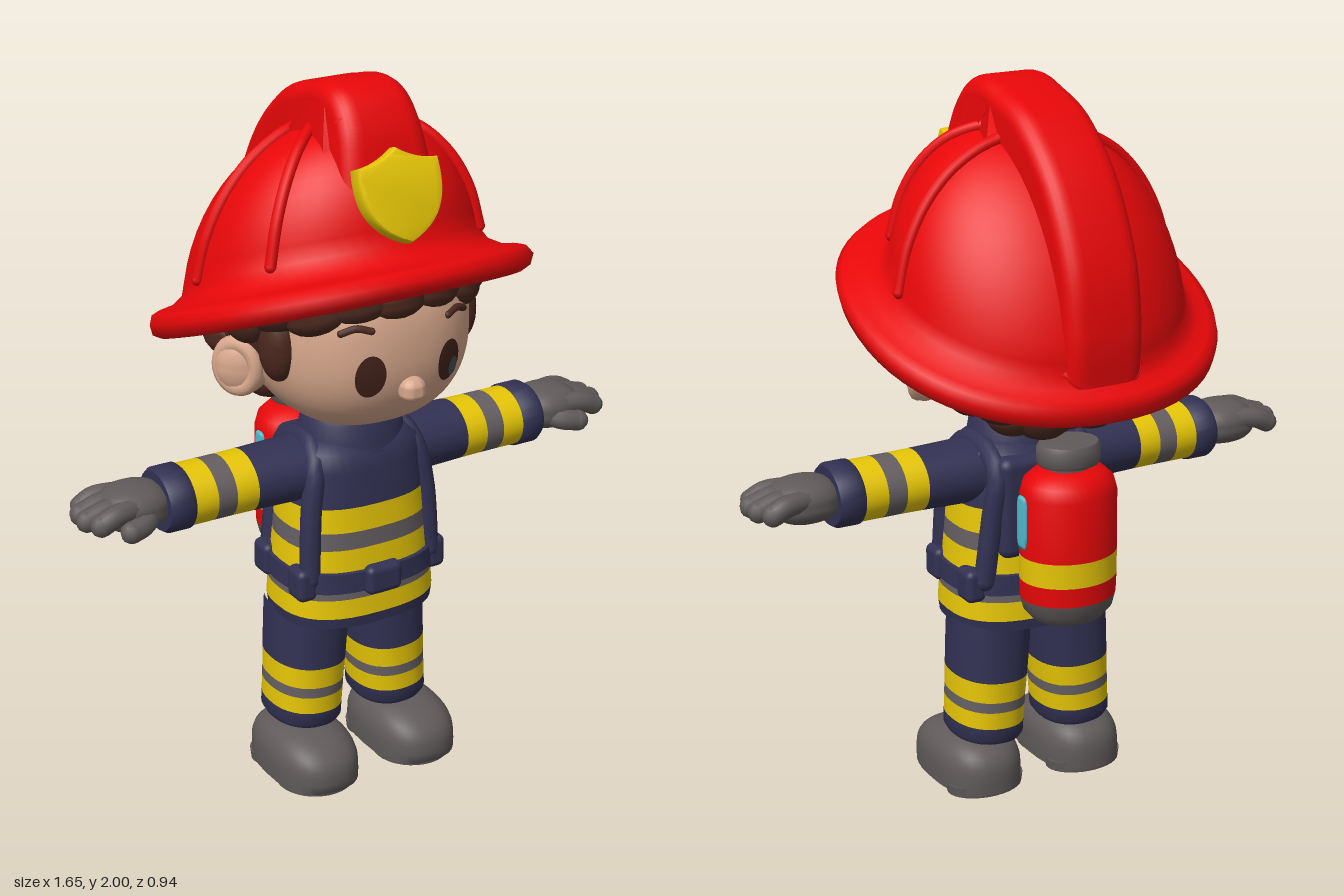
import * as THREE from 'three';
import { toCreasedNormals } from 'three/addons/utils/BufferGeometryUtils.js';
import { RoundedBoxGeometry } from 'three/addons/geometries/RoundedBoxGeometry.js';

const mat = (name, color, side = THREE.FrontSide) => {
  const m = new THREE.MeshStandardMaterial({ color, side });
  m.name = name;
  return m;
};
const V = (x, y, z) => new THREE.Vector3(x, y, z);

export function createModel() {
  const red = mat('red', 0xec0709, THREE.DoubleSide), yellow = mat('yellow', 0xe6c506);
  const navy = mat('navy', 0x323153), grey = mat('grey', 0x605a5a), band = mat('bandGrey', 0x645e61);
  const skin = mat('skin', 0xd8a88c), brown = mat('hairBrown', 0x4a281e);
  const dark = mat('eyeBrown', 0x42221a), glint = mat('eyeGlint', 0x4a5058), cyan = mat('gaugeBlue', 0x50bccc);

  const root = new THREE.Group();
  const group = (name) => {
    const g = new THREE.Group();
    g.name = name;
    root.add(g);
    return g;
  };
  const add = (parent, name, geo, material, x = 0, y = 0, z = 0) => {
    const m = new THREE.Mesh(geo, material);
    m.name = name;
    m.position.set(x, y, z);
    parent.add(m);
    return m;
  };
  // Move every vertex by a rule, then rebuild normals
  const warp = (geo, rule, crease = 0.9) => {
    const p = geo.attributes.position, v = V(0, 0, 0);
    for (let i = 0; i < p.count; i++) {
      rule(v.fromBufferAttribute(p, i));
      p.setXYZ(i, v.x, v.y, v.z);
    }
    return toCreasedNormals(geo, crease);
  };
  const box = (a, e) => Math.sign(a) * Math.abs(a) ** e;
  // Square off a round horizontal section
  const squarish = (v, e) => {
    const r = Math.hypot(v.x, v.z) || 1;
    v.x = r * box(v.x / r, e);
    v.z = r * box(v.z / r, e);
  };
  const blob = (parent, name, m, [x, y, z], [a, b, c], e = 1, seg = 24) =>
    add(parent, name, warp(new THREE.SphereGeometry(1, seg, Math.round(seg * 0.7)), (v) =>
      v.set(box(v.x, e) * a, box(v.y, e) * b, box(v.z, e) * c), 2), m, x, y, z);
  // Turned part split into coloured bands; rows are [y, radius, material above]
  const banded = (parent, name, rows, sz = 1, e = 1) => {
    const g = new THREE.Group();
    g.name = name;
    parent.add(g);
    for (let i = 0; i < rows.length - 1;) {
      const m = rows[i][2], pts = [];
      let j = i;
      for (; j < rows.length - 1 && rows[j][2] === m; j++) pts.push(rows[j]);
      pts.push(rows[j]);
      const geo = new THREE.LatheGeometry(pts.map(([y, r]) => new THREE.Vector2(r, y)), 40);
      add(g, name + 'Band', warp(geo, (v) => {
        squarish(v, e);
        v.z *= sz;
      }), m);
      i = j;
    }
    return g;
  };
  const tube = (parent, name, pts, r, m) => {
    add(parent, name, new THREE.TubeGeometry(new THREE.CatmullRomCurve3(pts), 24, r, 10), m);
    for (const p of [pts[0], pts[pts.length - 1]])
      add(parent, name + 'End', new THREE.SphereGeometry(r, 10, 8), m, p.x, p.y, p.z);
  };

  // Head
  const head = group('head');
  const HE = 0.85, HN = 2 / HE;
  blob(head, 'face', skin, [0, 1.35, 0.065], [0.29, 0.28, 0.3], HE, 48);
  const faceZ = (x, y) => 0.065 + 0.3 * Math.max(0, 1 - Math.abs(x / 0.29) ** HN - Math.abs((y - 1.35) / 0.28) ** HN) ** (1 / HN);
  const patch = (name, m, cx, cy, rx, ry, off) =>
    add(head, name, warp(new THREE.RingGeometry(0.001, 1, 28, 5), (v) => {
      const x = cx + v.x * rx, y = cy + v.y * ry;
      v.set(x, y, faceZ(x, y) + off);
    }), m);
  blob(head, 'nose', skin, [0, 1.24, 0.36], [0.038, 0.036, 0.034]);
  patch('eyeGlint', glint, 0.134, 1.272, 0.016, 0.028, 0.008);
  for (const s of [1, -1]) {
    patch('eye', dark, s * 0.118, 1.293, 0.039, 0.06, 0.005);
    tube(head, 'eyebrow', [[0.115, 1.418], [0.15, 1.426], [0.185, 1.413]].map(([x, y]) => V(s * x, y, faceZ(x, y))), 0.01, brown);
    // Ears turned a little to the front
    const ear = blob(head, 'ear', skin, [s * 0.305, 1.25, 0.005], [0.075, 0.085, 0.05]);
    ear.rotation.y = s * 0.55;
    const rim = add(head, 'earRim', new THREE.TorusGeometry(0.056, 0.022, 10, 28), skin, s * 0.325, 1.252, 0.015);
    rim.rotation.y = s * (Math.PI / 2 - 0.6);
    rim.scale.set(0.95, 1.1, 1);
  }

  // Curly hair
  const hair = group('hair');
  blob(hair, 'hairCap', brown, [0, 1.38, -0.04], [0.335, 0.27, 0.28], 1, 40);
  [[1.15, 5, 1], [1.21, 7, 1.3], [1.3, 7, 1.3], [1.39, 7, 1.35]].forEach(([y, n, spread], row) => {
    const k = Math.sqrt(1 - ((y - 1.38) / 0.29) ** 2);
    for (let i = 0; i < n; i++) {
      const a = spread * ((2 * (i + (row % 2) * 0.25)) / (n - 0.5) - 1);
      const size = 0.08 + 0.012 * Math.sin(i * 2.4 + row * 1.7);
      blob(hair, 'backCurl', brown, [Math.sin(a) * 0.3 * k, y, -0.04 - Math.cos(a) * 0.25 * k], [size, size * 0.85, size], 1, 16);
    }
  });
  [-1.15, -0.78, -0.42, -0.1, 0.3, 0.72, 1.12].forEach((a, i) => {
    const curl = blob(hair, 'fringeCurl', brown, [Math.sin(a) * 0.3, 1.5 - 0.045 * Math.abs(a) - (i % 2) * 0.014, 0.05 + Math.cos(a) * 0.255],
      [0.095, 0.062, 0.07], 1, 18);
    curl.rotation.set(0, a, -a * 0.35);
  });
  for (const s of [1, -1]) {
    blob(hair, 'sideburn', brown, [s * 0.275, 1.345, 0.145], [0.05, 0.1, 0.06]);
    blob(hair, 'sideCurl', brown, [s * 0.32, 1.41, 0.06], [0.06, 0.075, 0.08]);
  }

  // Helmet: dome and slightly squared brim, sheared so the front sits higher
  const helmet = group('helmet');
  const tilt = (v) => {
    const up = Math.min(1, Math.max(0, v.y / 0.1));
    squarish(v, 0.92 + 0.08 * up);
    v.z = v.z * 0.91 - 0.05 * up;
    v.y += 1.4 + 0.39 * v.z;
    return v;
  };
  // Dome radius and height at an angle above the brim, a little fuller than round
  const dome = (phi, grow = 0) => [(0.41 + grow) * Math.max(0, Math.cos(phi)) ** 0.93, (0.485 + grow) * Math.sin(phi) ** 0.95];
  const domePoint = (a, phi, grow) => {
    const [r, y] = dome(phi, grow);
    return tilt(V(Math.cos(a) * r, y, Math.sin(a) * r));
  };
  const shell = [[0.33, 0.06], [0.38, 0.01], [0.45, -0.032], [0.483, -0.043], [0.505, -0.03], [0.512, 0], [0.503, 0.026], [0.48, 0.036], [0.445, 0.043], [0.415, 0.065]];
  for (let i = 2; i <= 16; i++) shell.push(dome((i / 16) * Math.PI / 2));
  add(helmet, 'helmetShell', warp(new THREE.LatheGeometry(shell.map(([r, y]) => new THREE.Vector2(r, y)), 64), tilt, 1.2), red);

  // Raised crest with sloping sides, flared toward the front
  const crest = new THREE.Shape();
  crest.moveTo(0.3, 1.58);
  crest.splineThru([[0.245, 1.83], [0.205, 1.93], [0.15, 1.985], [0.08, 2], [0, 1.985], [-0.15, 1.93], [-0.3, 1.79], [-0.4, 1.6], [-0.432, 1.42], [-0.425, 1.28]]
    .map(([x, y]) => new THREE.Vector2(x, y)));
  crest.lineTo(-0.3, 1.35);
  crest.lineTo(-0.1, 1.6);
  crest.lineTo(0.1, 1.58);
  const crestGeo = new THREE.ExtrudeGeometry(crest, { depth: 0.12, bevelThickness: 0.052, bevelSize: 0.045, bevelOffset: -0.045, bevelSegments: 6, curveSegments: 40 });
  crestGeo.translate(0, 0, -0.06).rotateY(-Math.PI / 2);
  add(helmet, 'crest', warp(crestGeo, (v) => {
    const inner = Math.hypot(v.z + 0.03, v.y - 1.45) < 0.32;
    v.x *= inner ? 1.9 : 1 + 1.1 * Math.max(0, 2 - v.y) * Math.min(1, Math.max(0, v.z / 0.25));
  }), red);
  for (const s of [1, -1])
    for (const a of [0, 0.67])
      tube(helmet, 'helmetRib', [0.2, 0.45, 0.7, 0.95, 1.2, 1.32].map((phi) => {
        const p = domePoint(a + 0.06 * phi, phi, 0.004);
        p.x *= s;
        return p;
      }), 0.016, red);

  // Shield plate
  const shield = new THREE.Shape();
  shield.moveTo(0, 0.112);
  shield.quadraticCurveTo(-0.05, 0.078, -0.11, 0.074);
  shield.bezierCurveTo(-0.12, -0.02, -0.09, -0.08, 0, -0.114);
  shield.bezierCurveTo(0.09, -0.08, 0.12, -0.02, 0.11, 0.074);
  shield.quadraticCurveTo(0.05, 0.078, 0, 0.112);
  const plate = add(helmet, 'shield', toCreasedNormals(new THREE.ExtrudeGeometry(shield, { depth: 0.03, bevelThickness: 0.012, bevelSize: 0.008, bevelSegments: 3 }), 0.6), yellow, 0, 1.738, 0.275);
  plate.rotation.x = -0.36;

  // Jacket
  const body = group('jacket');
  banded(body, 'torso', [[0.5, 0, navy], [0.495, 0.2, navy], [0.5, 0.228, navy], [0.53, 0.232, yellow], [0.585, 0.228, band], [0.61, 0.225, yellow],
    [0.73, 0.214, band], [0.78, 0.21, yellow], [0.85, 0.204, navy], [0.95, 0.195, navy], [1, 0.183, navy], [1.025, 0.15, navy], [1.03, 0, navy]], 0.77, 0.78).position.z = 0.045;
  banded(body, 'belt', [[0.605, 0.21, navy], [0.608, 0.234, navy], [0.665, 0.23, navy], [0.668, 0.205, navy]], 0.78, 0.78).position.z = 0.045;
  banded(body, 'collar', [[0.99, 0.16, navy], [1.02, 0.15, navy], [1.07, 0.142, navy], [1.085, 0.132, navy], [1.085, 0, navy]], 0.87).position.z = 0.05;
  blob(body, 'hips', navy, [0, 0.53, 0.03], [0.19, 0.06, 0.13]);
  add(body, 'buckle', new RoundedBoxGeometry(0.11, 0.085, 0.05, 3, 0.02), navy, 0, 0.635, 0.22);
  for (const s of [1, -1]) {
    for (const z of [0.14, -0.05]) add(body, 'pouch', new RoundedBoxGeometry(0.06, 0.095, 0.08, 3, 0.02), navy, s * 0.205, 0.635, z);
    tube(body, 'strap', [V(s * 0.19, 0.65, 0.155), V(s * 0.178, 0.85, 0.145), V(s * 0.155, 0.97, 0.125), V(s * 0.14, 1.015, 0.05),
      V(s * 0.14, 0.96, -0.08), V(s * 0.16, 0.82, -0.085), V(s * 0.18, 0.65, -0.08)], 0.03, navy);
  }
  add(body, 'backPlate', new RoundedBoxGeometry(0.29, 0.29, 0.07, 3, 0.03), navy, 0, 0.855, -0.09);

  for (const s of [1, -1]) {
    // Sleeve and glove
    const arm = group(s > 0 ? 'leftArm' : 'rightArm');
    const sleeve = banded(arm, 'sleeve', [[0.1, 0.09, navy], [0.33, 0.084, yellow], [0.395, 0.083, band], [0.45, 0.083, yellow], [0.515, 0.083, navy],
      [0.52, 0.088, navy], [0.575, 0.088, navy], [0.588, 0.08, navy], [0.588, 0, navy]], 1.16);
    sleeve.rotation.z = -s * Math.PI / 2;
    sleeve.position.set(0, 0.933, 0.04);
    blob(arm, 'palm', grey, [s * 0.655, 0.938, 0.04], [0.098, 0.062, 0.09], 0.85);
    [0.79, 0.81, 0.807, 0.785].forEach((x, i) => {
      const z = 0.106 - i * 0.045;
      tube(arm, 'finger', [V(s * 0.67, 0.955, 0.04 + (z - 0.04) * 0.8), V(s * 0.735, 0.951, z), V(s * (x - 0.014), 0.934, z)], 0.03, grey);
    });
    tube(arm, 'thumb', [V(s * 0.62, 0.93, 0.08), V(s * 0.66, 0.918, 0.122), V(s * 0.705, 0.91, 0.135)], 0.03, grey);

    // Trouser leg, leaning in toward the hips
    const leg = group(s > 0 ? 'leftLeg' : 'rightLeg');
    const trouser = banded(leg, 'trouser', [[0.15, 0, navy], [0.155, 0.095, navy], [0.17, 0.104, navy], [0.205, 0.104, yellow], [0.255, 0.105, band], [0.285, 0.105, yellow],
      [0.345, 0.107, navy], [0.45, 0.109, navy], [0.51, 0.109, navy]], 1.2, 0.88);
    trouser.position.set(s * 0.15, 0, 0.012);
    trouser.rotation.z = s * 0.06;
    // Boot with sole and heel
    add(leg, 'boot', warp(new THREE.SphereGeometry(1, 32, 24), (v) => {
      const y = box(v.y, 0.65), z = box(v.z, 0.75);
      const toe = Math.max(0, z) ** 2;
      v.set(box(v.x, 0.8) * 0.123, Math.max(0.012, 0.04 + y * (0.12 - 0.025 * toe)), z * 0.185);
    }, 1.2), grey, s * 0.16, 0, 0.066);
    const sole = (name, len, z) => {
      const m = add(leg, name, new THREE.CylinderGeometry(0.116, 0.112, 0.03, 32), grey, s * 0.16, 0.015, z);
      m.scale.z = len / 0.116;
    };
    sole('sole', 0.118, 0.125);
    sole('heel', 0.08, -0.032);
  }

  // Air tank, wider than deep
  const tank = group('airTank');
  banded(tank, 'tank', [[0.555, 0, grey], [0.557, 0.06, grey], [0.57, 0.1, grey], [0.6, 0.126, grey], [0.635, 0.135, red], [0.69, 0.137, yellow], [0.76, 0.137, red],
    [0.93, 0.136, red], [0.965, 0.126, red], [0.988, 0.1, red], [0.995, 0.06, grey], [1.005, 0.06, grey], [1.008, 0.084, grey], [1.018, 0.09, grey],
    [1.055, 0.09, grey], [1.068, 0.082, grey], [1.07, 0, grey]], 0.855).position.z = -0.222;
  for (const s of [1, -1])
    blob(tank, 'gauge', cyan, [s * 0.1365, 0.857, -0.214], [0.005, 0.076, 0.025], 0.5);
  return root;
}
